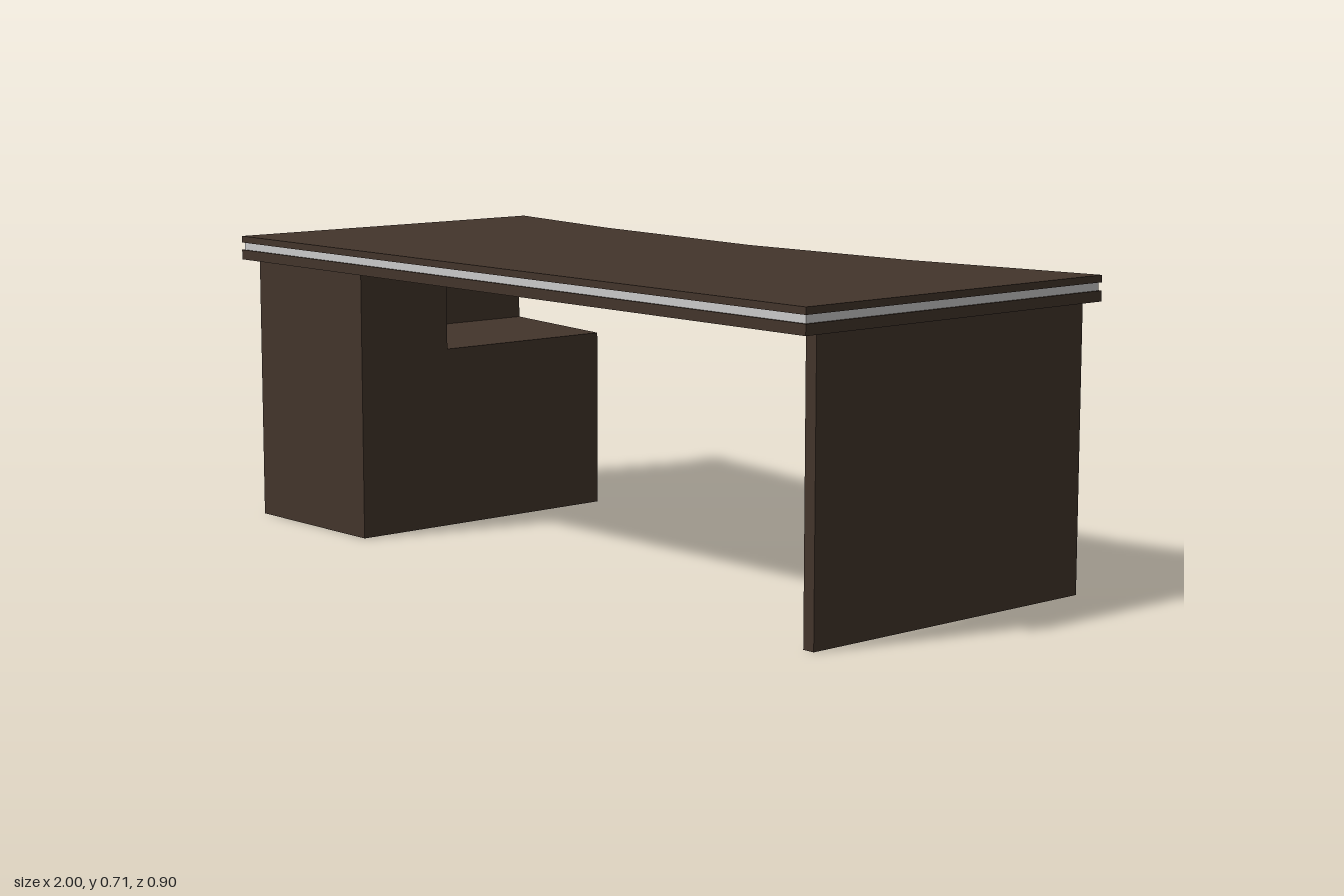
import * as THREE from 'three';

const wood = new THREE.MeshStandardMaterial({ color: 0x43352b });
const metal = new THREE.MeshStandardMaterial({ color: 0xcccccc });

// Vertical prism over a footprint of [x, z] corners
function slab(name, points, y0, y1, material = wood) {
  const shape = new THREE.Shape(points.map(([x, z]) => new THREE.Vector2(x, -z)));
  const geometry = new THREE.ExtrudeGeometry(shape, { depth: y1 - y0, bevelEnabled: false });
  geometry.rotateX(-Math.PI / 2);
  geometry.translate(0, y0, 0);
  const mesh = new THREE.Mesh(geometry, material);
  mesh.name = name;
  return mesh;
}

// Bowed back edge of the desktop, pulled in by an inset on all sides
function topOutline(inset) {
  const e = 1 - inset;
  return [
    [-e, 0.45 - inset], [e, 0.45 - inset], [e, -0.45 + inset],
    [0.5, -0.368 + inset], [0, -0.34 + inset], [-0.58, -0.383 + inset], [-e, -0.45 + inset],
  ];
}

// The open end of the pedestal is angled to follow the desktop edge
const SLOPE = 0.07 / 0.43;
const backZ = (x) => -0.335 + SLOPE * (x + 0.56);
const footprint = (x0, x1, front, inset = 0) =>
  [[x0, front], [x1, front], [x1, backZ(x1) + inset], [x0, backZ(x0) + inset]];
const rect = (x0, x1, z0, z1) => [[x0, z1], [x1, z1], [x1, z0], [x0, z0]];

function createHandle() {
  const handle = new THREE.Group();
  handle.name = 'drawerHandle';
  const bar = new THREE.Mesh(new THREE.CapsuleGeometry(0.007, 0.14, 6, 12), metal);
  bar.name = 'handleBar';
  bar.rotation.z = Math.PI / 2;
  bar.position.z = -0.03;
  handle.add(bar);
  for (const side of [-1, 1]) {
    const post = new THREE.Mesh(new THREE.CylinderGeometry(0.005, 0.005, 0.03, 12), metal);
    post.name = 'handlePost';
    post.rotation.x = Math.PI / 2;
    post.position.set(side * 0.06, 0, -0.015);
    handle.add(post);
  }
  return handle;
}

function createPedestal() {
  const pedestal = new THREE.Group();
  pedestal.name = 'pedestal';
  const xOut = -0.99, xIn = -0.56, t = 0.03, step = 0.148, low = 0.44, high = 0.648;
  const a = xOut + t, b = xIn - t;

  // Side walls: the inner one drops to a low shelf height behind the step
  pedestal.add(
    slab('outerSide', footprint(xOut, a, 0.405), 0, high),
    slab('innerSideLow', footprint(b, xIn, step), 0, low),
    slab('innerSideTall', rect(b, xIn, step, 0.405), 0, high),
    slab('frontPanel', rect(a, b, 0.405 - t, 0.405), 0, high),
    slab('partition', rect(a, b, step, step + t), 0.02, high),
  );

  // Horizontal boards
  pedestal.add(
    slab('bottomBoard', footprint(a, b, 0.405 - t), 0, 0.02),
    slab('shelf', footprint(a, b, step), 0.185, 0.215),
    slab('pedestalTop', footprint(a, b, step), low - t, low),
  );

  // Drawer front, slightly recessed
  const gap = 0.004, recess = 0.01;
  const front = footprint(a + gap, b - gap, 0, recess);
  front[0][1] = front[3][1] + 0.02;
  front[1][1] = front[2][1] + 0.02;
  pedestal.add(slab('drawerFront', front, 0.215 + gap, low - t - gap));

  const handle = createHandle();
  const mid = (a + b) / 2;
  handle.position.set(mid, 0.32, backZ(mid) + recess);
  handle.rotation.y = -Math.atan(SLOPE);
  pedestal.add(handle);
  return pedestal;
}

export function createModel() {
  const desk = new THREE.Group();
  desk.name = 'desk';

  // Layered desktop with a metal band between two boards
  desk.add(
    slab('lowerTop', topOutline(0), 0.648, 0.672),
    slab('metalBand', topOutline(0.005), 0.672, 0.69, metal),
    slab('upperTop', topOutline(0), 0.69, 0.706),
  );

  desk.add(slab('leftLegPanel', rect(0.957, 0.987, -0.403, 0.407), 0, 0.648));
  desk.add(createPedestal());
  return desk;
}
